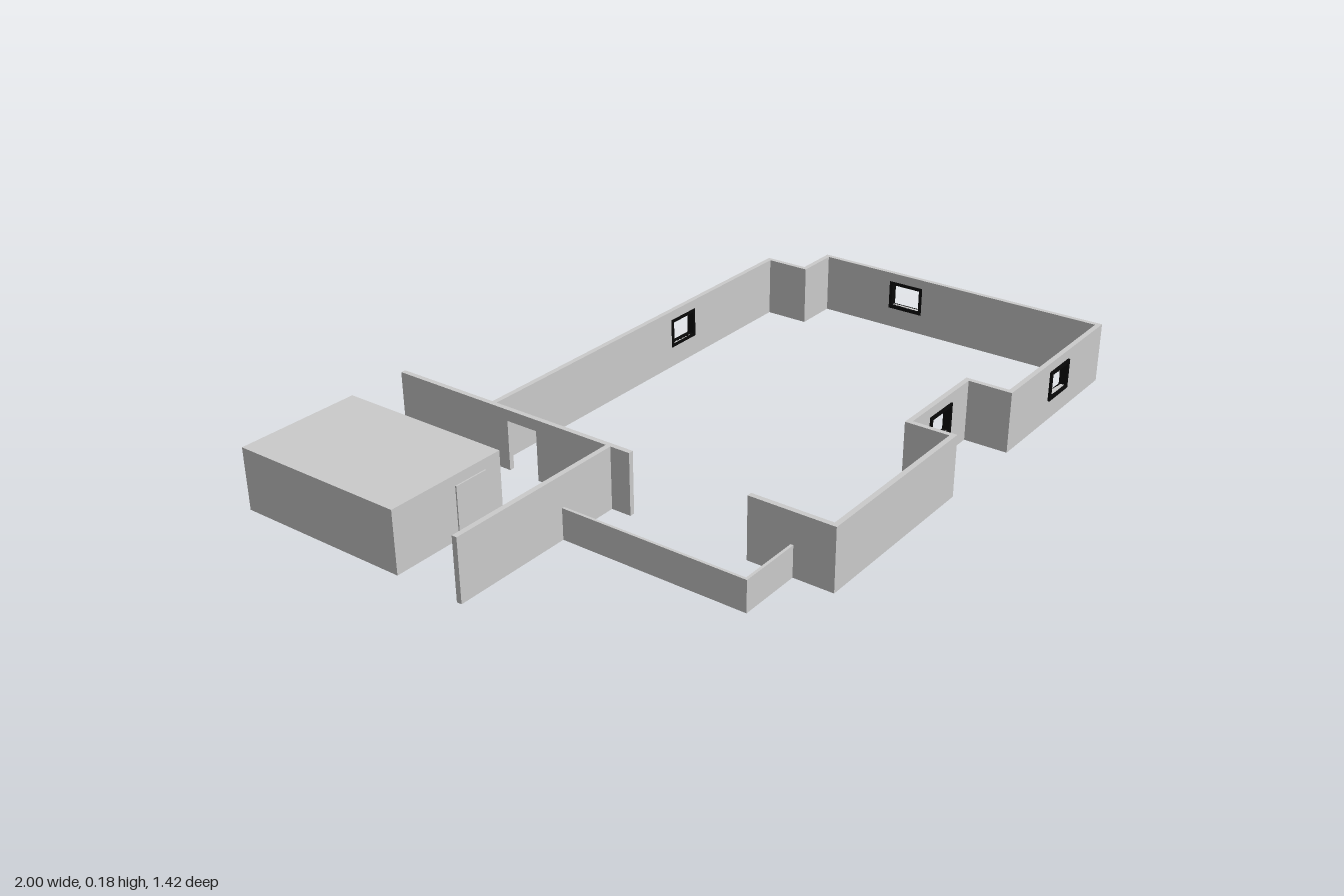
import * as THREE from 'three';

const H = 0.18; // wall height
const grey = new THREE.MeshStandardMaterial({ color: 0xcccccc, flatShading: true });
const black = new THREE.MeshStandardMaterial({ color: 0x080808, flatShading: true });

// Upright rectangle with an optional rectangular opening, extruded over a plan rectangle.
// Openings are [start, end, bottom, top] along the longer side of the plan.
function panel(name, [x0, x1, z0, z1], y0, y1, opening, material = grey) {
  const alongX = x1 - x0 > z1 - z0;
  const [a, b, depth] = alongX ? [x0, x1, z1 - z0] : [z0, z1, x1 - x0];
  const rect = (Type, u0, u1, v0, v1) => new Type([
    new THREE.Vector2(u0, v0), new THREE.Vector2(u1, v0),
    new THREE.Vector2(u1, v1), new THREE.Vector2(u0, v1),
  ]);
  let shape = rect(THREE.Shape, a, b, y0, y1);
  if (opening) {
    const [o0, o1, bottom, top] = opening;
    if (bottom <= y0) { // doorway reaches the floor
      shape = new THREE.Shape([[a, y0], [o0, y0], [o0, top], [o1, top], [o1, y0], [b, y0], [b, y1], [a, y1]]
        .map(([u, v]) => new THREE.Vector2(u, v)));
    } else {
      shape.holes.push(rect(THREE.Path, o0, o1, bottom, top));
    }
  }
  const geometry = new THREE.ExtrudeGeometry(shape, { depth, bevelEnabled: false });
  if (alongX) geometry.translate(0, 0, z0);
  else geometry.rotateY(-Math.PI / 2).translate(x1, 0, 0);
  const mesh = new THREE.Mesh(geometry, material);
  mesh.name = name;
  return mesh;
}

export function createModel() {
  const model = new THREE.Group();
  model.name = 'floorPlan';
  const win = (a, b) => [a + 0.008, b - 0.008, 0.073, 0.142];

  // Full-height house walls: name, [x0, x1, z0, z1], opening
  const walls = [
    ['backWall', [-0.435, 0.86, -0.385, -0.37], win(0.325, 0.44)],
    ['backStepSide', [0.845, 0.86, -0.37, -0.235]],
    ['backStepWall', [0.86, 0.995, -0.25, -0.235]],
    ['leftWall', [0.98, 0.995, -0.235, 0.685], win(-0.005, 0.11)],
    ['frontWallLeft', [0.423, 0.995, 0.685, 0.7], win(0.66, 0.775)],
    ['recessSideLeft', [0.423, 0.438, 0.57, 0.685]],
    ['recessWall', [0.107, 0.438, 0.555, 0.57], win(0.215, 0.33)],
    ['recessSideRight', [0.107, 0.122, 0.57, 0.685]],
    ['frontWallRight', [-0.45, 0.122, 0.685, 0.7]],
    ['rightWallFront', [-0.45, -0.435, 0.45, 0.685]],
    ['rightWallBack', [-0.45, -0.435, -0.71, 0.09], [-0.32, -0.22, 0, 0.147]],
    ['yardWall', [-1, -0.45, 0.015, 0.03]],
  ];
  for (const [name, plan, opening] of walls) model.add(panel(name, plan, 0, H, opening));

  // Low terrace wall
  model.add(panel('lowWallSide', [-0.64, -0.632, 0.03, 0.583], 0, H / 2));
  model.add(panel('lowWallFront', [-0.632, -0.45, 0.575, 0.583], 0, H / 2));

  // Window frames, slightly proud of both wall faces
  const frames = [
    [0.325, 0.44, -0.39, -0.368],
    [0.978, 1, -0.005, 0.11],
    [0.66, 0.775, 0.683, 0.706],
    [0.215, 0.33, 0.553, 0.575],
  ];
  for (const plan of frames) {
    const [a, b] = plan[1] - plan[0] > plan[3] - plan[2] ? plan : plan.slice(2);
    model.add(panel('windowFrame', plan, 0.063, 0.152, [a + 0.01, b - 0.01, 0.073, 0.142], black));
  }

  // Separate outbuilding with its door
  const shed = new THREE.Group();
  shed.name = 'outbuilding';
  const block = new THREE.Mesh(new THREE.BoxGeometry(0.37, H, 0.53), grey);
  block.name = 'outbuildingBlock';
  block.position.set(-0.815, H / 2, -0.445);
  shed.add(block, panel('outbuildingDoor', [-0.79, -0.685, -0.18, -0.176], 0, 0.15));
  model.add(shed);
  return model;
}
